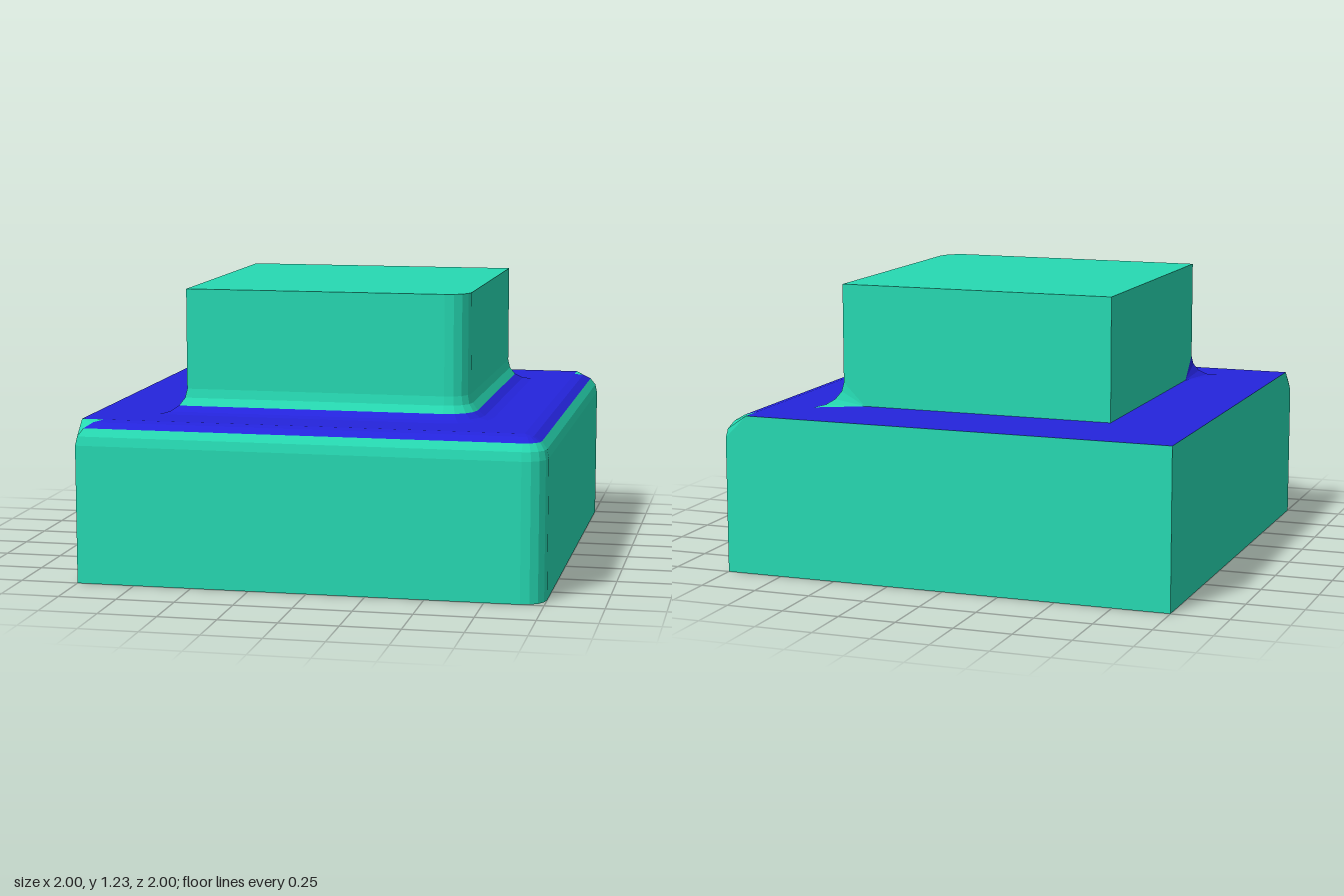
import * as THREE from 'three';

const BASE = 1, COL = 0.615, R = 0.1;
const LEDGE = 0.695, TOP = 1.23, SEG = 4;

const green = new THREE.MeshStandardMaterial({ color: 0x26d9b2 });
green.name = 'sea green';
const blue = new THREE.MeshStandardMaterial({ color: 0x2424dc });
blue.name = 'deep blue';

// Open path along the front and right sides, rounded where they meet
function ring(h, r, y) {
  const pts = [[-h, y, h]];
  for (let i = 0; i <= SEG; i++) {
    const a = (i / SEG) * Math.PI / 2;
    pts.push([h - r + r * Math.sin(a), y, h - r + r * Math.cos(a)]);
  }
  pts.push([h, y, -h]);
  return pts;
}

function flatGeometry(triangles) {
  const g = new THREE.BufferGeometry();
  g.setAttribute('position', new THREE.Float32BufferAttribute(triangles.flat(), 3));
  g.computeVertexNormals();
  return g;
}

// Skin over a stack of rings
function skin(rings) {
  const t = [];
  for (let k = 0; k < rings.length - 1; k++) {
    const a = rings[k], b = rings[k + 1];
    for (let i = 0; i < a.length - 1; i++) {
      t.push(a[i], a[i + 1], b[i + 1], a[i], b[i + 1], b[i]);
    }
  }
  return flatGeometry(t);
}

// Triangle fan around one corner
function fan(apex, pts, flip = false) {
  const t = [];
  for (let i = 0; i < pts.length - 1; i++) {
    t.push(apex, pts[flip ? i + 1 : i], pts[flip ? i : i + 1]);
  }
  return flatGeometry(t);
}

const swap = ([x, y, z]) => [z, y, x]; // mirror across the diagonal

export function createModel() {
  const group = new THREE.Group();
  const add = (name, geometry, material) => {
    const mesh = new THREE.Mesh(geometry, material);
    mesh.name = name;
    group.add(mesh);
  };
  // A part on the left side and its mirror on the back side
  const addPair = (name, apex, pts, leftMat, backMat = leftMat) => {
    add(name + 'Left', fan(apex, pts), leftMat);
    add(name + 'Back', fan(swap(apex), pts.map(swap), true), backMat);
  };

  // Rounded outer edge and concave fillet, each in quarter-circle steps
  const edge = [], fillet = [];
  for (let i = 0; i <= SEG; i++) {
    const a = (i / SEG) * Math.PI / 2, c = R * Math.cos(a), s = R * Math.sin(a);
    edge.push(ring(BASE - R + c, c, LEDGE - R + s));
    fillet.push(ring(COL + R - s, 2 * R - s, LEDGE + R - c));
  }
  const half = SEG / 2;

  // Base block
  add('baseSides', skin([ring(BASE, R, 0), ...edge.slice(0, half + 1)]), green);
  add('baseUpperEdge', skin(edge.slice(half)), blue);
  add('baseBottom', fan([-BASE, 0, -BASE], ring(BASE, R, 0), true), green);
  addPair('baseWall', [-BASE, 0, -BASE], [
    [-BASE, 0, BASE], [-BASE, LEDGE - R, BASE],
    [-BASE, LEDGE, BASE - R], [-BASE, LEDGE, -BASE],
  ], green);
  addPair('edgeEnd', [-BASE, LEDGE, BASE - R], edge.map((r) => r[0]), green);

  // Flat ledge around the column
  const flat = (pts) => pts.map(([x, , z]) => new THREE.Vector2(x, -z));
  const b = BASE - R;
  const ledge = new THREE.Shape(flat([
    [-BASE, 0, -BASE], [-BASE, 0, b], [-b, 0, b], [b, 0, b], [b, 0, -b], [b, 0, -BASE],
  ]));
  ledge.holes.push(new THREE.Path(flat([
    [-COL, 0, -COL], [-COL, 0, COL - R], ...fillet[0], [COL - R, 0, -COL],
  ])));
  add('ledge', new THREE.ShapeGeometry(ledge).rotateX(-Math.PI / 2).translate(0, LEDGE, 0), blue);

  // Column with its fillet
  add('filletLower', skin(fillet.slice(0, half + 1)), blue);
  add('columnSides', skin([...fillet.slice(half), ring(COL, R, TOP)]), green);
  add('columnTop', fan([-COL, TOP, -COL], ring(COL, R, TOP)), green);
  addPair('columnWall', [-COL, LEDGE, -COL], [
    [-COL, LEDGE, COL - R], [-COL, LEDGE + R, COL],
    [-COL, TOP, COL], [-COL, TOP, -COL],
  ], green);
  addPair('filletEnd', [-COL, LEDGE, COL - R], fillet.map((r) => r[0]), blue, green);

  return group;
}
